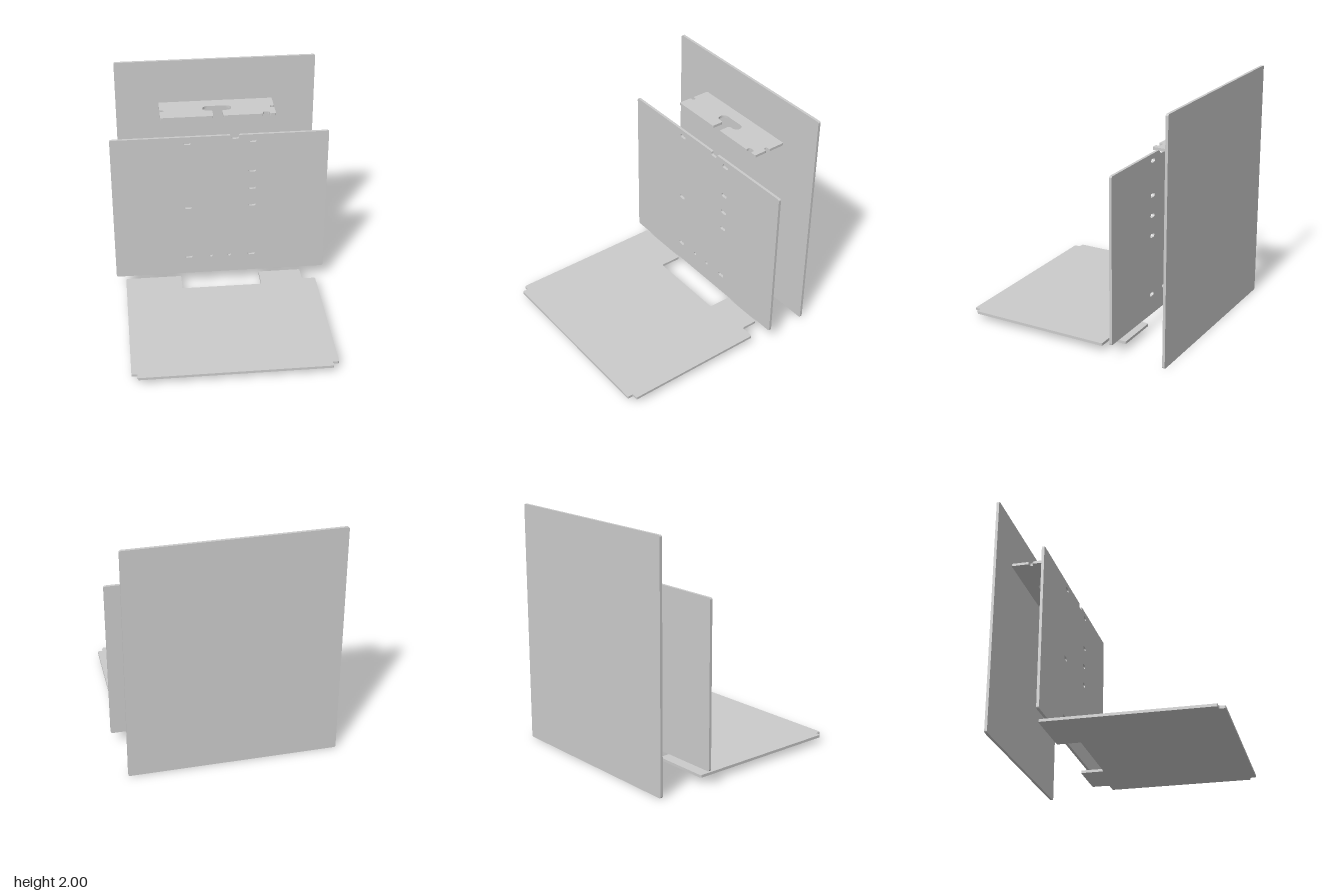
import * as THREE from 'three';

const T = 0.022; // sheet thickness
const material = new THREE.MeshStandardMaterial({ color: 0xcccccc });

// Closed outline through [x, y, radius] corners, each rounded to a quarter arc
function rounded(corners, Type = THREE.Shape) {
  const path = new Type();
  const n = corners.length;
  const k = 0.5523;
  corners.forEach(([x, y, r = 0.01], i) => {
    const c = new THREE.Vector2(x, y);
    const toward = (j, d) => {
      const [px, py] = corners[(j + n) % n];
      return new THREE.Vector2(px, py).sub(c).setLength(d).add(c);
    };
    const a = toward(i - 1, r), b = toward(i + 1, r);
    const ca = toward(i - 1, r * (1 - k)), cb = toward(i + 1, r * (1 - k));
    if (i === 0) path.moveTo(a.x, a.y);
    else path.lineTo(a.x, a.y);
    path.bezierCurveTo(ca.x, ca.y, cb.x, cb.y, b.x, b.y);
  });
  path.closePath();
  return path;
}

// Rounded hole of half width w and half height h
function slot(x, y, w, h) {
  const r = h * 0.999;
  return rounded([
    [x - w, y - h, r], [x + w, y - h, r], [x + w, y + h, r], [x - w, y + h, r],
  ], THREE.Path);
}

function sheet(name, shape) {
  const geometry = new THREE.ExtrudeGeometry(shape, { depth: T, bevelEnabled: false, curveSegments: 8 });
  const mesh = new THREE.Mesh(geometry, material);
  mesh.name = name;
  return mesh;
}

// Lays a sheet flat: outline y becomes z, top face at the given height
function lay(mesh, top) {
  mesh.geometry.rotateX(Math.PI / 2);
  mesh.position.y = top;
  return mesh;
}

export function createModel() {
  const model = new THREE.Group();
  model.name = 'explodedPanels';

  // Plain tall panel at the back
  const back = sheet('backPanel', rounded([
    [-0.855, 0, 0.015], [0.852, 0, 0.015], [0.852, 2, 0.015], [-0.855, 2, 0.015],
  ]));
  back.position.z = -0.901;

  // Upright panel with a notch in its top edge and mounting holes
  const frontShape = rounded([
    [-0.925, 0.126, 0.015], [0.922, 0.126, 0.015], [0.922, 1.49, 0.015],
    [0.16, 1.49, 0.012], [0.16, 1.455, 0.018], [0.094, 1.455, 0.018], [0.094, 1.49, 0.012],
    [-0.925, 1.49, 0.015],
  ]);
  for (const y of [0.302, 0.808, 1.433]) {
    for (const x of [-0.28, 0.275]) frontShape.holes.push(slot(x, y, 0.033, 0.016));
  }
  for (const y of [0.977, 1.147]) frontShape.holes.push(slot(0.275, y, 0.033, 0.016));
  for (const x of [-0.084, 0.078]) frontShape.holes.push(slot(x, 0.302, 0.016, 0.016));
  const front = sheet('uprightPanel', frontShape);
  front.position.z = -0.481;

  // Base sheet with rear cut-outs and stepped front corners
  const base = lay(sheet('basePanel', rounded([
    [-0.843, -0.49, 0.015], [-0.352, -0.49], [-0.352, -0.298], [0.347, -0.298], [0.347, -0.49],
    [0.719, -0.49, 0.015], [0.719, -0.344, 0.015], [0.838, -0.344],
    [0.838, 0.847], [0.789, 0.847], [0.789, 0.898], [-0.794, 0.898], [-0.794, 0.847], [-0.843, 0.847],
  ])), 0.073);

  // Small shelf with a T-shaped cut-out and edge notches
  const shelf = lay(sheet('shelf', rounded([
    [-0.491, -0.879], [0.486, -0.879],
    [0.486, -0.73], [0.452, -0.73, 0.013], [0.452, -0.7, 0.013], [0.486, -0.7],
    [0.486, -0.583], [0.434, -0.583], [0.434, -0.62, 0.015], [0.377, -0.62, 0.015], [0.377, -0.583],
    [0.04, -0.583], [0.04, -0.686, 0.015],
    [0.12, -0.686, 0.042], [0.12, -0.771, 0.042], [-0.125, -0.771, 0.042], [-0.125, -0.686, 0.042],
    [-0.045, -0.686, 0.015], [-0.045, -0.583],
    [-0.491, -0.583], [-0.491, -0.7], [-0.457, -0.7, 0.013], [-0.457, -0.73, 0.013], [-0.491, -0.73],
  ])), 1.615);

  model.add(back, front, base, shelf);
  return model;
}
